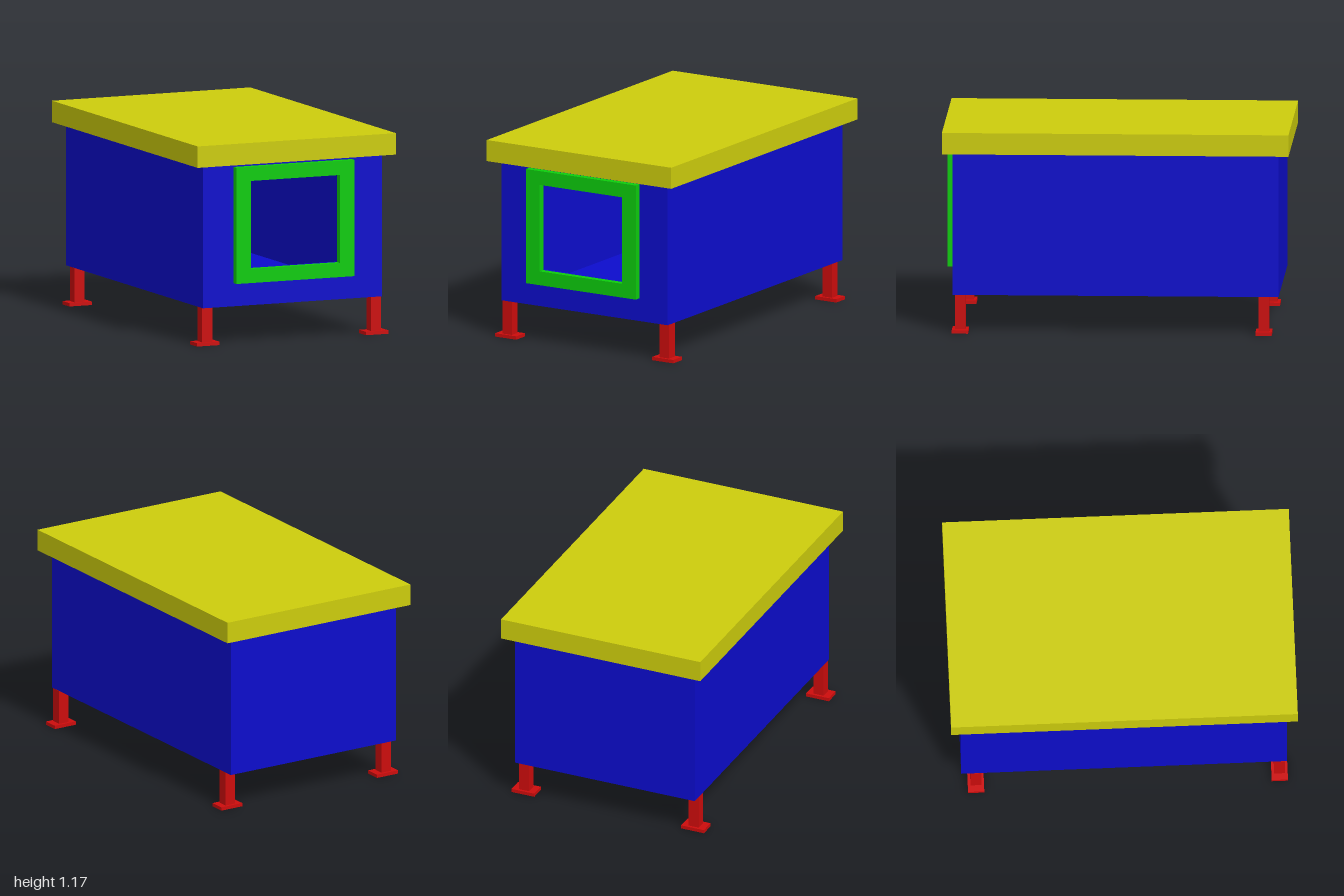
import * as THREE from 'three';

const RED = new THREE.MeshStandardMaterial({ color: 0xcc0c0c });
const BLUE = new THREE.MeshStandardMaterial({ color: 0x0c0ccc });
const GREEN = new THREE.MeshStandardMaterial({ color: 0x0ccc0c });
const YELLOW = new THREE.MeshStandardMaterial({ color: 0xcccc0c });

// Box given by its minimum and maximum corners
function box(name, mat, [x0, y0, z0], [x1, y1, z1]) {
  const mesh = new THREE.Mesh(new THREE.BoxGeometry(x1 - x0, y1 - y0, z1 - z0), mat);
  mesh.position.set((x0 + x1) / 2, (y0 + y1) / 2, (z0 + z1) / 2);
  mesh.name = name;
  return mesh;
}

// Upright panel with a rectangular opening, from z0 to z1
function panelWithOpening(name, mat, [x, y0, y1], [hx, hy0, hy1], z0, z1) {
  const corners = (w, a, b) => [[-w, a], [w, a], [w, b], [-w, b]].map(([u, v]) => new THREE.Vector2(u, v));
  const shape = new THREE.Shape(corners(x, y0, y1));
  shape.holes.push(new THREE.Path(corners(hx, hy0, hy1).reverse()));
  const geo = new THREE.ExtrudeGeometry(shape, { depth: z1 - z0, bevelEnabled: false });
  const mesh = new THREE.Mesh(geo, mat);
  mesh.position.z = z0;
  mesh.name = name;
  return mesh;
}

export function createModel() {
  const model = new THREE.Group();
  model.name = 'raisedShelter';

  const X = 0.568, Z = 0.94, Y0 = 0.22, Y1 = 1.05, T = 0.02;
  const opening = [0.282, 0.437, 0.95];

  // Hollow cabin: floor, back, sides and a front with the entrance
  const cabin = new THREE.Group();
  cabin.name = 'cabin';
  cabin.add(
    box('floor', BLUE, [-X, Y0, -Z], [X, Y0 + T, Z - T]),
    box('backWall', BLUE, [-X, Y0 + T, -Z], [X, Y1, -Z + T]),
    box('leftWall', BLUE, [X - T, Y0 + T, -Z + T], [X, Y1, Z - T]),
    box('rightWall', BLUE, [-X, Y0 + T, -Z + T], [-X + T, Y1, Z - T]),
    panelWithOpening('frontWall', BLUE, [X, Y0, Y1], opening, Z - T, Z)
  );
  model.add(cabin);

  // Raised frame around the entrance
  model.add(panelWithOpening('entranceFrame', GREEN, [0.375, 0.355, 1.032], opening, Z, 0.98));

  // Overhanging roof slab
  model.add(box('roof', YELLOW, [-0.63, Y1, -1], [0.63, 1.175, 1]));

  // Four legs on foot plates
  for (const sx of [-1, 1]) {
    for (const sz of [-1, 1]) {
      const leg = new THREE.Group();
      leg.name = `${sz > 0 ? 'front' : 'back'}${sx > 0 ? 'Left' : 'Right'}Leg`;
      leg.add(
        box('post', RED, [-0.0325, 0.02, -0.031], [0.0325, Y0, 0.031]),
        box('footPlate', RED, [-0.072, 0, -0.047], [0.072, 0.02, 0.047])
      );
      leg.position.set(sx * 0.5365, 0, sz > 0 ? 0.897 : -0.855);
      model.add(leg);
    }
  }
  return model;
}
